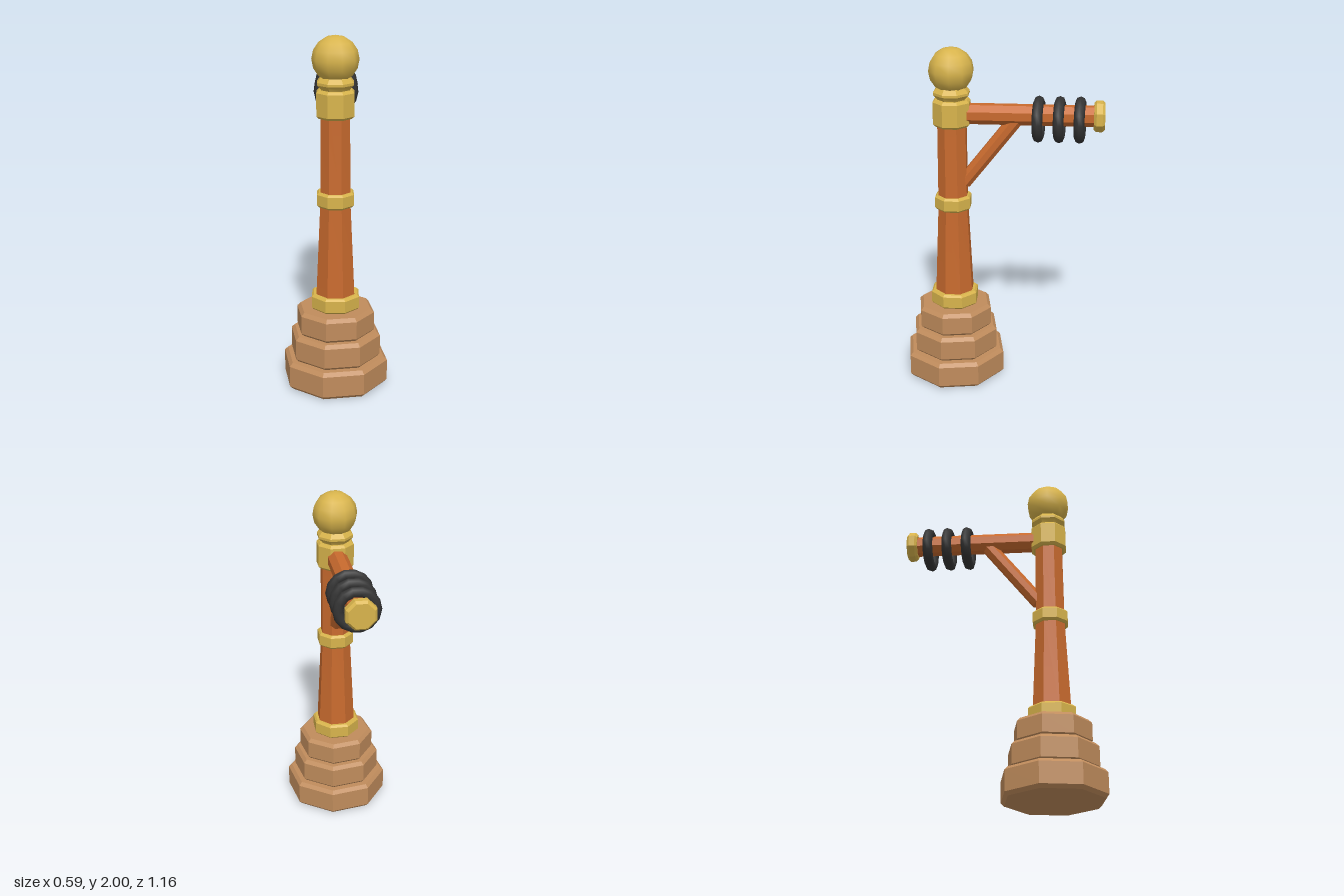
import * as THREE from 'three';
import { toCreasedNormals } from 'three/addons/utils/BufferGeometryUtils.js';

const POST_Z = 0.28, ARM_Y = 1.625;
const EIGHTH = Math.PI / 8;

export function createModel() {
  const model = new THREE.Group();
  const mat = (name, color) => new THREE.MeshStandardMaterial({ name, color });
  const gold = mat('gold', 0xd8b44c);
  const wood = mat('orangeWood', 0xc86a2e);
  const clay = mat('brownStone', 0xc08c5c);
  const rubber = mat('blackRubber', 0x343434);

  function add(name, geometry, material, x, y, z) {
    const mesh = new THREE.Mesh(geometry, material);
    mesh.name = name;
    mesh.position.set(x, y, z);
    model.add(mesh);
    return mesh;
  }

  // Faceted solid of revolution from [radius, height] pairs, bottom to top
  function turned(profile, phase = EIGHTH, sides = 8) {
    const points = profile.map(([r, y]) => new THREE.Vector2(r, y));
    return toCreasedNormals(new THREE.LatheGeometry(points, sides, phase), 0.5);
  }

  // Closed prism with bevelled rims
  const band = (r, y0, y1, b, phase) => turned(
    [[0, y0], [r - b, y0], [r, y0 + b], [r, y1 - b], [r - b, y1], [0, y1]], phase);

  // Stepped octagonal base
  [[0.305, 0, 0.162], [0.262, 0.158, 0.312], [0.226, 0.308, 0.452]].forEach(([r, y0, y1], i) =>
    add(`baseStep${i + 1}`, band(r, y0, y1, 0.02, 0.56), clay, 0, 0, POST_Z));

  // Tapered post
  add('post', turned([[0, 0.45], [0.118, 0.5], [0.09, 1.08], [0.086, 1.6], [0, 1.6]]), wood, 0, 0, POST_Z);

  // Gold collars around the post
  add('bottomCollar', band(0.144, 0.45, 0.54, 0.012), gold, 0, 0, POST_Z);
  add('middleCollar', band(0.11, 1.055, 1.14, 0.012), gold, 0, 0, POST_Z);
  add('topCollar', band(0.111, 1.555, 1.71, 0.014), gold, 0, 0, POST_Z);

  // Finial: flared neck ring and ball
  add('finialNeck', turned([[0, 1.69], [0.075, 1.69], [0.085, 1.715], [0.107, 1.738],
    [0.107, 1.752], [0.085, 1.778], [0, 1.79]]), gold, 0, 0, POST_Z);
  add('finialBall', new THREE.SphereGeometry(0.129, 10, 8), gold, 0, 1.873, POST_Z);

  // Horizontal arm and its end cap
  const arm = add('arm', turned([[0, 0], [0.06, 0], [0.06, 0.78], [0, 0.78]]), wood, 0, ARM_Y, POST_Z - 0.02);
  arm.rotation.x = -Math.PI / 2;
  const cap = add('armEndCap', band(0.089, 0, 0.062, 0.014), gold, 0, ARM_Y, -0.518);
  cap.rotation.x = -Math.PI / 2;

  // Diagonal brace between post and arm
  const foot = new THREE.Vector3(0, 1.215, 0.215), head = new THREE.Vector3(0, 1.6, -0.085);
  const length = foot.distanceTo(head);
  const brace = add('brace', turned([[0, 0], [0.044, 0], [0.044, length], [0, length]]), wood, ...foot.toArray());
  brace.quaternion.setFromUnitVectors(new THREE.Vector3(0, 1, 0), head.clone().sub(foot).normalize());

  // Rings hanging on the arm, slightly turned
  [-0.21, -0.327, -0.442].forEach((z, i) => {
    const ring = add(`ring${i + 1}`, new THREE.TorusGeometry(0.102, 0.03, 8, 14), rubber, 0, 1.6, z);
    ring.rotation.y = -0.06;
  });

  return model;
}
